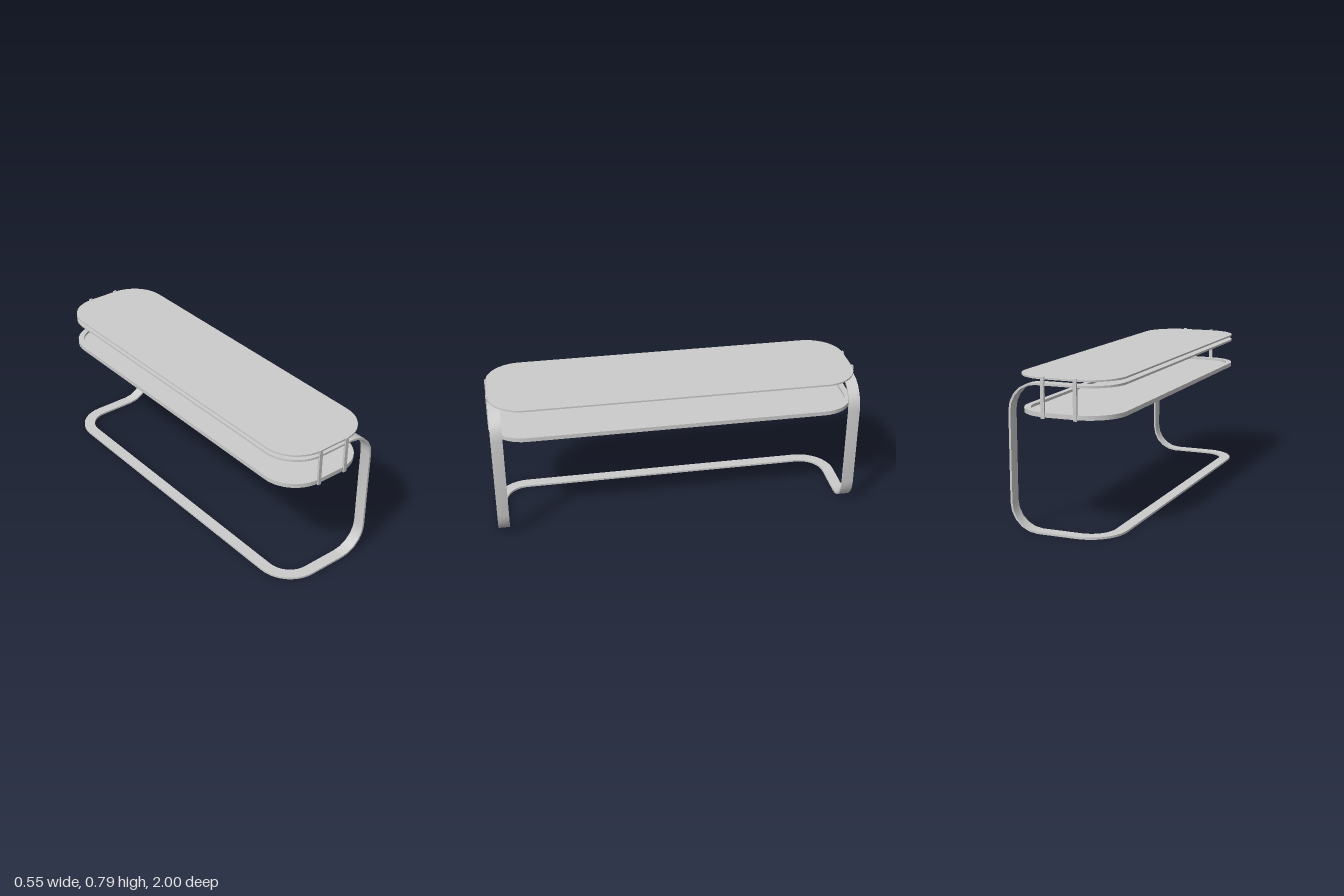
import * as THREE from 'three';
import { toCreasedNormals } from 'three/addons/utils/BufferGeometryUtils.js';

const HALF_X = 0.273, HALF_Z = 0.994;   // overall plan half sizes
const BAND = 0.063, THICK = 0.011;      // flat steel band of the frame
const CORNER = 0.19, BEND = 0.147;      // plan corner radius, bend radius
const TOP = 0.754;                      // top of the frame

const material = new THREE.MeshStandardMaterial({ color: 0xcccccc, side: THREE.DoubleSide });

// Points on an arc, angles in quarter turns
function arc(cx, cy, r, q0, q1, n = 10) {
  return Array.from({ length: n + 1 }, (_, i) => {
    const a = (q0 + (q1 - q0) * i / n) * Math.PI / 2;
    return new THREE.Vector2(cx + r * Math.cos(a), cy + r * Math.sin(a));
  });
}

function roundedRect(x0, x1, hz, r) {
  return [
    ...arc(x1 - r, hz - r, r, 0, 1), ...arc(x0 + r, hz - r, r, 1, 2),
    ...arc(x0 + r, r - hz, r, 2, 3), ...arc(x1 - r, r - hz, r, 3, 4),
  ];
}

function extrude(shape, depth) {
  return new THREE.ExtrudeGeometry(shape, { depth, bevelEnabled: false });
}

function addMesh(parent, name, geometry) {
  const mesh = new THREE.Mesh(toCreasedNormals(geometry, 0.5), material);
  mesh.name = name;
  parent.add(mesh);
  return mesh;
}

// Horizontal plate from a plan outline, its underside at height y
function addPlate(parent, name, outline, y, height, hole) {
  const shape = new THREE.Shape(outline);
  if (hole) shape.holes.push(new THREE.Path(hole));
  addMesh(parent, name, extrude(shape, height).rotateX(-Math.PI / 2)).position.y = y;
}

// U-shaped plan of the band: two arms joined by the long rail
function railOutline(xEnd) {
  const r = CORNER, ri = CORNER - BAND, cx = -HALF_X + r, cz = HALF_Z - r;
  return [
    new THREE.Vector2(xEnd, HALF_Z),
    ...arc(cx, cz, r, 1, 2), ...arc(cx, -cz, r, 2, 3),
    new THREE.Vector2(xEnd, -HALF_Z), new THREE.Vector2(xEnd, BAND - HALF_Z),
    ...arc(cx, -cz, ri, 3, 2), ...arc(cx, cz, ri, 2, 1),
    new THREE.Vector2(xEnd, HALF_Z - BAND),
  ];
}

export function createModel() {
  const model = new THREE.Group();
  model.name = 'consoleTable';

  // Bent band frame
  const frame = new THREE.Group();
  frame.name = 'frame';
  model.add(frame);
  const bendX = HALF_X - BEND, inner = BEND - THICK;
  addPlate(frame, 'floorRail', railOutline(bendX), 0, THICK);
  addPlate(frame, 'upperRail', railOutline(bendX), TOP - THICK, THICK);

  // Upright with a bend at the floor and one under the top
  const upright = new THREE.Shape([
    ...arc(bendX, BEND, BEND, -1, 0, 5), ...arc(bendX, TOP - BEND, BEND, 0, 1, 5),
    ...arc(bendX, TOP - BEND, inner, 1, 0, 5), ...arc(bendX, BEND, inner, 0, -1, 5),
  ]);
  for (const [name, z] of [['frontUpright', HALF_Z - BAND], ['backUpright', -HALF_Z]]) {
    addMesh(frame, name, extrude(upright, BAND)).position.z = z;
  }

  // Table top
  addPlate(model, 'tableTop', roundedRect(-HALF_X, HALF_X, HALF_Z, CORNER), 0.773, 0.009);

  // Shelf tray: floor and raised rim
  const tray = new THREE.Group();
  tray.name = 'shelfTray';
  model.add(tray);
  const trayX = HALF_X - THICK, rim = 0.032;
  const trayInner = roundedRect(-HALF_X + rim, trayX - rim, HALF_Z - rim, CORNER - rim);
  addPlate(tray, 'trayFloor', trayInner, 0.588, 0.009);
  addPlate(tray, 'trayRim', roundedRect(-HALF_X, trayX, HALF_Z, CORNER), 0.588, 0.023, trayInner);

  // Straps holding the shelf at both ends
  for (const side of [1, -1]) {
    for (const x of [-0.086, 0.086]) {
      const strap = addMesh(model, side > 0 ? 'frontStrap' : 'backStrap',
        new THREE.BoxGeometry(0.019, 0.204, 0.012));
      strap.position.set(x, 0.684, side * 0.994);
    }
  }
  return model;
}
